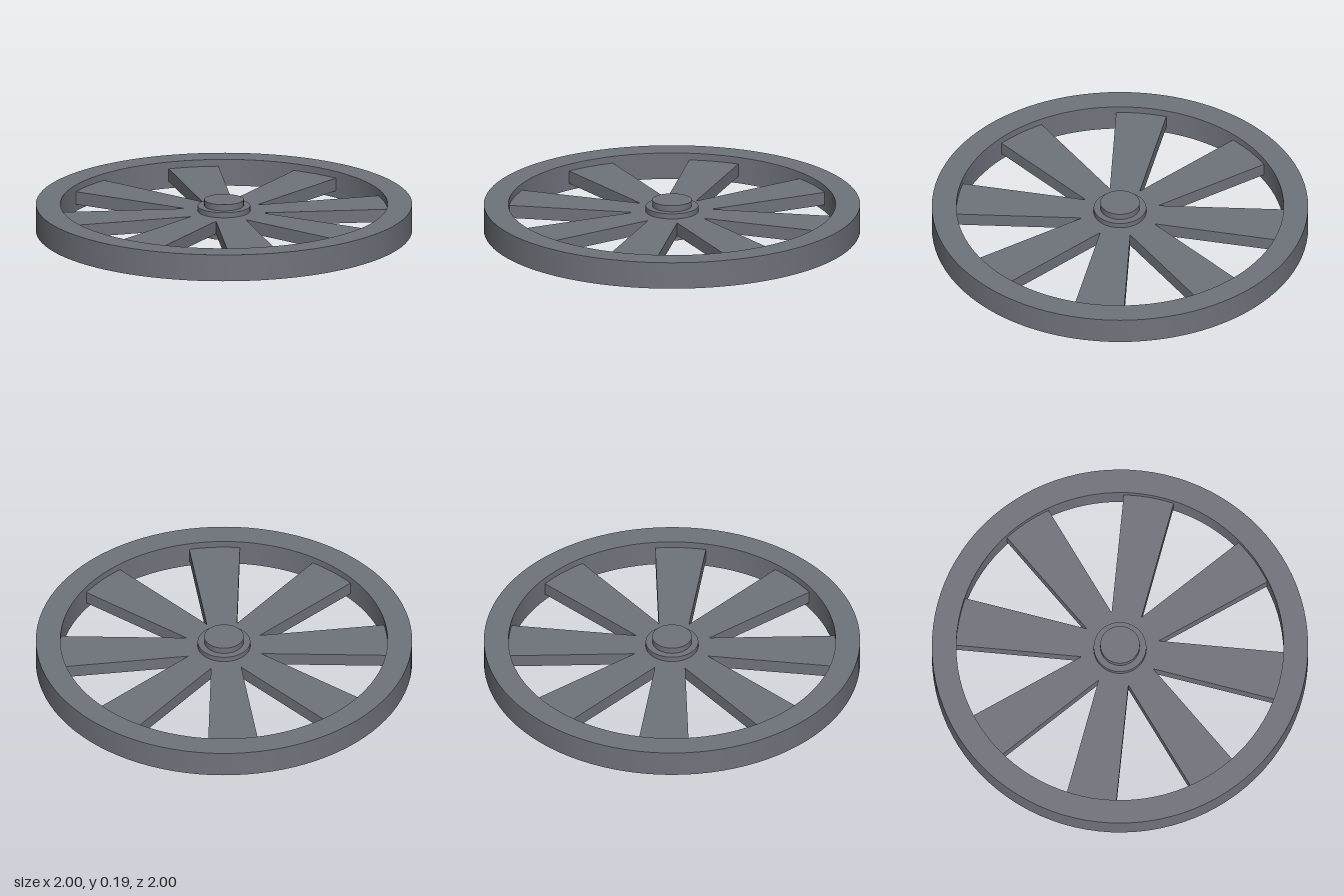
import * as THREE from 'three';
import { toCreasedNormals } from 'three/addons/utils/BufferGeometryUtils.js';

export function createModel() {
  const group = new THREE.Group();
  const steel = new THREE.MeshStandardMaterial({ color: 0x6f737b });
  steel.name = 'steel grey';
  const MID = 0.0975; // mid height of the wheel

  function add(name, geometry) {
    const mesh = new THREE.Mesh(geometry, steel);
    mesh.name = name;
    mesh.position.y = MID;
    group.add(mesh);
  }

  // Rim: rectangular section turned round the axis
  const section = [[1, -0.0725], [1, 0.0725], [0.87, 0.0725], [0.87, -0.0725], [1, -0.0725]];
  const rim = new THREE.LatheGeometry(section.map(([r, y]) => new THREE.Vector2(r, y)), 96);
  add('rim', toCreasedNormals(rim, 0.6));

  // Eight tapered spokes, meeting in a solid centre
  const SPOKES = 8, THICK = 0.07, END_R = 0.873, VALLEY_R = 0.21;
  const step = (Math.PI * 2) / SPOKES;
  const half = Math.asin(0.135 / END_R);
  const outline = [];
  for (let i = 0; i < SPOKES; i++) {
    for (let k = -3; k <= 3; k++) {
      const a = i * step + (half * k) / 3;
      outline.push(new THREE.Vector2(END_R * Math.cos(a), END_R * Math.sin(a)));
    }
    const v = (i + 0.5) * step;
    outline.push(new THREE.Vector2(VALLEY_R * Math.cos(v), VALLEY_R * Math.sin(v)));
  }
  const spokes = new THREE.ExtrudeGeometry(new THREE.Shape(outline), { depth: THICK, bevelEnabled: false });
  spokes.translate(0, 0, -THICK / 2);
  spokes.rotateX(-Math.PI / 2);
  add('spokes', spokes);

  // Hub: a wide collar and a longer axle boss, the same on both faces
  add('hubCollar', new THREE.CylinderGeometry(0.14, 0.14, 0.127, 64));
  add('axleBoss', new THREE.CylinderGeometry(0.105, 0.105, 0.195, 64));

  return group;
}
